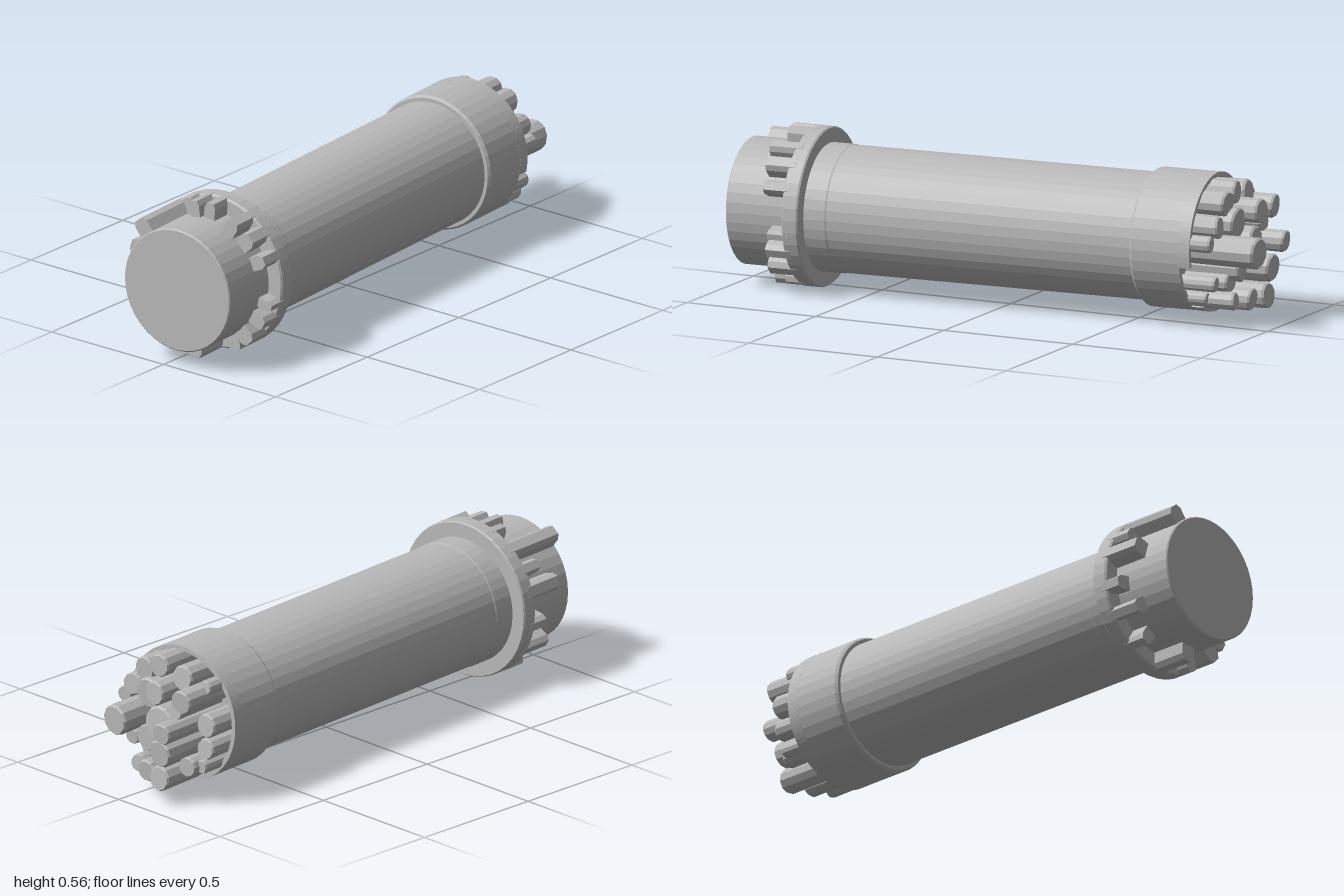
import * as THREE from 'three';

const grey = new THREE.MeshStandardMaterial({ color: 0xb9b9b9, flatShading: true });
grey.name = 'stone grey';
const SIDES = 40;
const rad = THREE.MathUtils.degToRad;

export function createModel() {
  const model = new THREE.Group();
  // Everything is built along local x, then the axis is turned slightly
  const core = new THREE.Group();
  core.name = 'capsule';
  core.rotation.y = 0.0704;
  core.position.set(0, 0.281, -0.021);
  model.add(core);

  const add = (name, geometry) => {
    const mesh = new THREE.Mesh(geometry, grey);
    mesh.name = name;
    core.add(mesh);
    return mesh;
  };

  // Turned part: pairs of [position along x, radius]
  const turned = (name, profile) => {
    const points = profile.map(([x, r]) => new THREE.Vector2(r, x));
    return add(name, new THREE.LatheGeometry(points, SIDES).rotateZ(-Math.PI / 2));
  };

  // Long tube with its closed end cap
  turned('tube', [[-0.988, 0], [-0.988, 0.219], [-0.984, 0.223], [0.56, 0.223]]);
  turned('tubeSeam', [[-0.7, 0.225], [-0.615, 0.225], [-0.61, 0.223]]);

  // Flange behind the toothed collar
  turned('flange', [[-0.755, 0.215], [-0.755, 0.274], [-0.748, 0.28], [-0.7, 0.28],
    [-0.694, 0.276], [-0.694, 0.215]]);

  // Teeth: [angle from front, tip position, width]
  const teeth = [
    [24, -0.83, 0.05], [43, -0.84, 0.06], [59, -0.85, 0.05], [84, -0.83, 0.045],
    [97, -0.84, 0.04], [108, -0.8, 0.04], [128, -0.975, 0.06], [146, -0.82, 0.05],
    [163, -0.885, 0.06], [190, -0.81, 0.05], [212, -0.86, 0.05], [238, -0.82, 0.05],
    [270, -0.885, 0.06], [295, -0.8, 0.05], [315, -0.835, 0.06], [333, -0.825, 0.05],
    [347, -0.81, 0.035],
  ];
  for (const [angle, tip, width] of teeth) {
    const length = -0.73 - tip;
    const w = width / 2;
    const section = new THREE.Shape([[-w, 0.212], [w, 0.212], [w, 0.262], [w * 0.6, 0.28],
      [-w * 0.6, 0.28], [-w, 0.262]].map(([x, y]) => new THREE.Vector2(x, y)));
    const tooth = new THREE.ExtrudeGeometry(section, { depth: length, bevelEnabled: false });
    tooth.rotateY(Math.PI / 2).translate(tip, 0, 0);
    tooth.rotateX(rad(90 - angle));
    add('collarTooth', tooth);
  }

  // Cup at the open end, with a broken lip
  turned('cup', [[0.538, 0.22], [0.538, 0.236], [0.548, 0.243], [0.725, 0.243],
    [0.725, 0.226], [0.69, 0.222], [0.69, 0]]);
  const lip = new THREE.Shape();
  lip.absarc(0, 0, 0.243, rad(240), rad(552), false);
  lip.absarc(0, 0, 0.227, rad(552), rad(240), true);
  const lipGeometry = new THREE.ExtrudeGeometry(lip, { depth: 0.043, bevelEnabled: false, curveSegments: 36 });
  add('cupLip', lipGeometry.rotateY(Math.PI / 2).translate(0.723, 0, 0));

  // Bundle of rods: [z, y, radius, tip position]
  const rods = [
    [-0.05, 0.47, 0.042, 0.86], [0.02, 0.44, 0.045, 0.86], [-0.155, 0.45, 0.045, 0.85],
    [-0.22, 0.395, 0.043, 0.92], [-0.1, 0.4, 0.044, 0.93], [0.08, 0.368, 0.04, 0.86],
    [-0.02, 0.365, 0.058, 0.88], [-0.172, 0.348, 0.035, 0.9], [0.127, 0.315, 0.03, 0.85],
    [0.036, 0.28, 0.056, 0.99], [-0.1, 0.283, 0.062, 0.91], [-0.184, 0.283, 0.039, 0.98],
    [-0.263, 0.3, 0.044, 0.84], [-0.03, 0.208, 0.05, 0.89], [-0.145, 0.193, 0.05, 0.95],
    [-0.26, 0.213, 0.038, 0.84], [0.09, 0.168, 0.028, 0.85], [0, 0.16, 0.037, 0.86],
    [0.02, 0.1, 0.032, 0.89], [-0.05, 0.097, 0.04, 0.92], [-0.132, 0.097, 0.046, 0.94],
    [-0.2, 0.138, 0.036, 0.87], [-0.24, 0.142, 0.025, 0.84], [-0.235, 0.425, 0.028, 0.82],
    [0.062, 0.108, 0.022, 0.8],
  ];
  rods.forEach(([z, y, r, tip], i) => {
    const localZ = z + 0.021 + 0.0704 * tip;
    const end = tip - 0.0704 * localZ;
    const points = [[0.68, r * 0.94], [end - 0.008, r], [end, r * 0.9], [end, 0]]
      .map(([x, radius]) => new THREE.Vector2(radius, x));
    const rod = new THREE.LatheGeometry(points, 11).rotateZ(-Math.PI / 2).rotateX(i);
    // Slanted end faces, leaning a different way on each rod
    const p = rod.attributes.position;
    for (let v = 0; v < p.count; v++) {
      if (p.getX(v) > 0.7) {
        p.setX(v, p.getX(v) + 0.1 * (Math.sin(i * 2.4) * p.getY(v) + Math.cos(i * 2.4) * p.getZ(v)));
      }
    }
    rod.computeVertexNormals();
    add('rod', rod.translate(0, y - 0.281, localZ));
  });

  return model;
}
